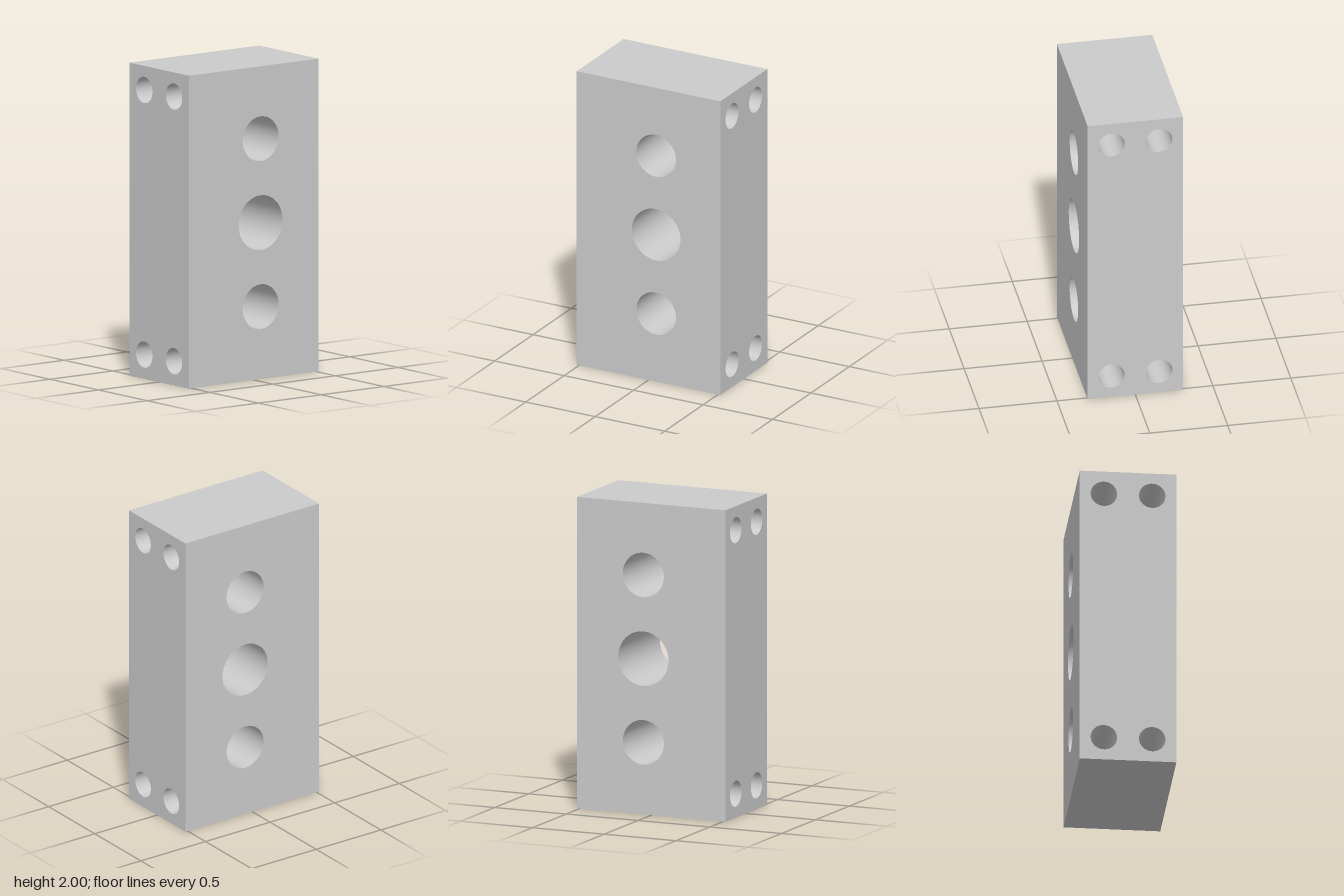
import * as THREE from 'three';

const W = 0.612, H = 2, D = 1.034;
const SEG = 64;

// Bores running front to back, near the corners: [x, y, radius]
const cornerBores = [];
for (const x of [-0.153, 0.153]) for (const y of [0.154, 1.846]) cornerBores.push([x, y, 0.084]);

// Bores running side to side: [z, y, radius]
const sideBores = [
  [-0.055, 0.463, 0.143],
  [-0.055, 1.0, 0.175],
  [-0.055, 1.537, 0.143],
];

// Upright rectangular face with round holes, facing +z, base at y = 0
function drilledFace(width, holes) {
  const s = new THREE.Shape();
  s.moveTo(-width / 2, 0);
  s.lineTo(width / 2, 0);
  s.lineTo(width / 2, H);
  s.lineTo(-width / 2, H);
  s.closePath();
  for (const [u, y, r] of holes) {
    s.holes.push(new THREE.Path().absarc(u, y, r, 0, Math.PI * 2, true));
  }
  return new THREE.ShapeGeometry(s, SEG / 2);
}

export function createModel() {
  const group = new THREE.Group();
  const solid = new THREE.MeshStandardMaterial({ color: 0xcccccc });
  const open = new THREE.MeshStandardMaterial({ color: 0xcccccc, side: THREE.DoubleSide });
  const add = (name, geometry, material = solid) => {
    const mesh = new THREE.Mesh(geometry, material);
    mesh.name = name;
    group.add(mesh);
  };

  // Four drilled upright faces of the block
  const mirrored = (holes) => holes.map(([u, y, r]) => [-u, y, r]);
  add('frontFace', drilledFace(W, cornerBores).translate(0, 0, D / 2));
  add('backFace', drilledFace(W, mirrored(cornerBores)).translate(0, 0, D / 2).rotateY(Math.PI));
  add('leftFace', drilledFace(D, mirrored(sideBores)).translate(0, 0, W / 2).rotateY(Math.PI / 2));
  add('rightFace', drilledFace(D, sideBores).translate(0, 0, W / 2).rotateY(-Math.PI / 2));

  // Plain ends
  add('topFace', new THREE.PlaneGeometry(W, D).rotateX(-Math.PI / 2).translate(0, H, 0));
  add('bottomFace', new THREE.PlaneGeometry(W, D).rotateX(Math.PI / 2));

  // Bore walls
  const tube = (r, length) => new THREE.CylinderGeometry(r, r, length, SEG, 1, true);
  for (const [x, y, r] of cornerBores) {
    add('cornerBore', tube(r, D).rotateX(Math.PI / 2).translate(x, y, 0), open);
  }
  for (const [z, y, r] of sideBores) {
    add('sideBore', tube(r, W).rotateZ(Math.PI / 2).translate(0, y, z), open);
  }
  return group;
}
